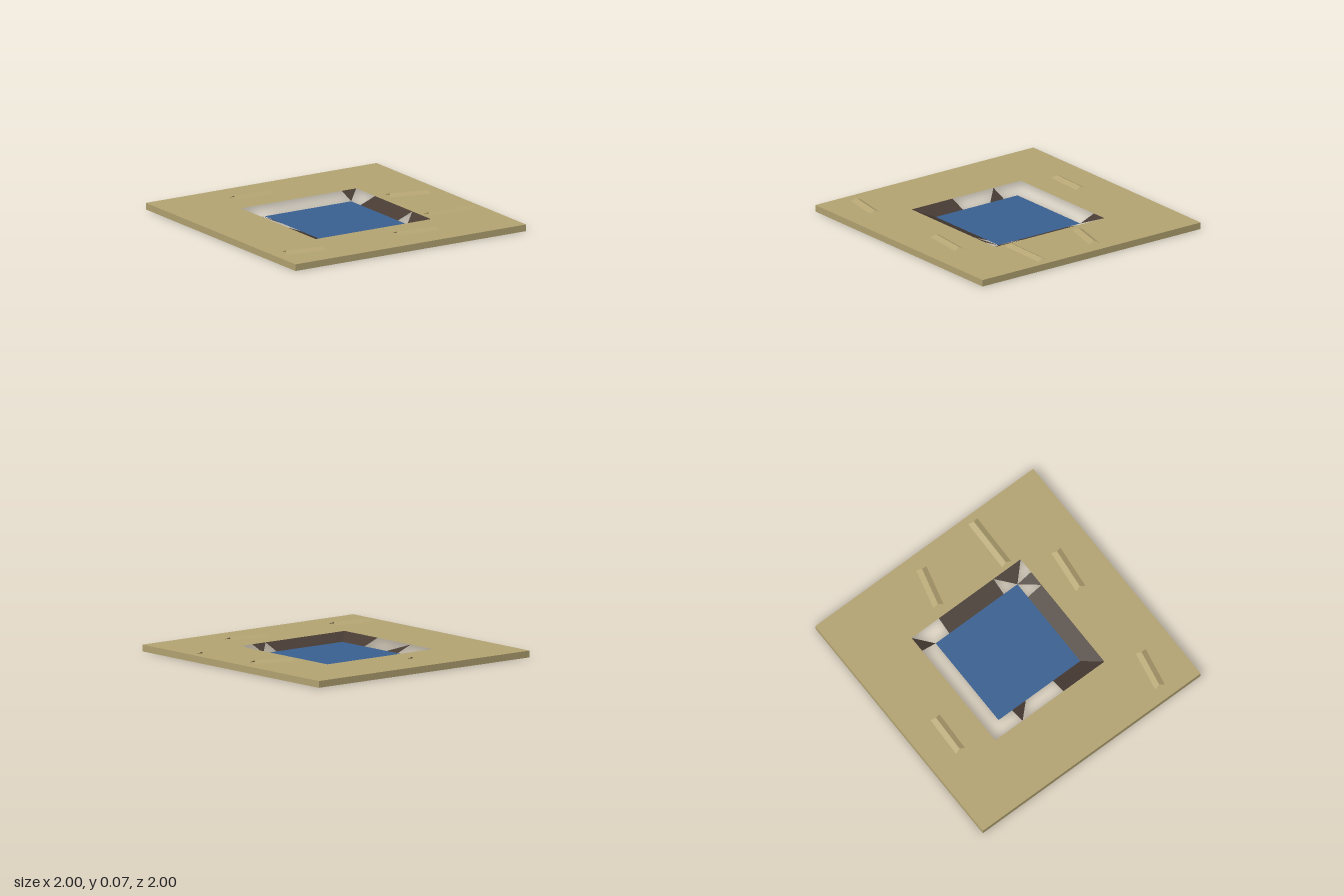
import * as THREE from 'three';

const TOP = 0.05;      // height of the ground sheet
const HOLE = 0.5;      // half size of the pond opening
const WATER = 0.375;   // half size of the water

const material = (name, color) => {
  const m = new THREE.MeshStandardMaterial({ color, side: THREE.DoubleSide });
  m.name = name;
  return m;
};

// Flat polygon given as [x, z] plan points, facing up
function planGeometry(points, hole) {
  const toVec = ([x, z]) => new THREE.Vector2(x, -z);
  const shape = new THREE.Shape(points.map(toVec));
  if (hole) shape.holes.push(new THREE.Path(hole.map(toVec)));
  return new THREE.ShapeGeometry(shape).rotateX(-Math.PI / 2);
}

const square = (h) => [[-h, h], [h, h], [h, -h], [-h, -h]];

// Bank piece: a plan polygon whose height falls from the rim to the water
function bankGeometry(points) {
  const g = planGeometry(points);
  const p = g.attributes.position;
  for (let i = 0; i < p.count; i++) {
    const d = Math.max(Math.abs(p.getX(i)), Math.abs(p.getZ(i)));
    p.setY(i, TOP * (d - WATER) / (HOLE - WATER));
  }
  g.computeVertexNormals();
  return g;
}

// Dune ripple: two sloping sides with open ends
function rippleGeometry(half) {
  const w = 0.04, h = 0.02, r = half - 0.013;
  const quad = (a, b, c, d) => [...a, ...b, ...c, ...a, ...c, ...d];
  const r0 = [-r, h, 0], r1 = [r, h, 0];
  const g = new THREE.BufferGeometry();
  g.setAttribute('position', new THREE.Float32BufferAttribute([
    ...quad([-half, 0, w], [half, 0, w], r1, r0),
    ...quad([half, 0, -w], [-half, 0, -w], r0, r1),
  ], 3));
  g.computeVertexNormals();
  return g;
}

export function createModel() {
  const group = new THREE.Group();
  const sand = material('sand', 0xb5a573);
  const soil = material('soil', 0x483c34);
  const blue = material('water', 0x3a6192);

  const add = (name, geometry, mat, parent = group) => {
    const mesh = new THREE.Mesh(geometry, mat);
    mesh.name = name;
    parent.add(mesh);
    return mesh;
  };

  // Ground sheet with a square opening
  add('ground', planGeometry(square(1), square(HOLE)), sand);

  // Outer edges, open underneath
  for (let i = 0; i < 4; i++) {
    const edge = new THREE.PlaneGeometry(2, TOP).translate(0, TOP / 2, 1);
    add('groundEdge', edge.rotateY(i * Math.PI / 2), sand);
  }
  group.children[0].position.y = TOP;

  // Pond surface
  add('water', planGeometry(square(WATER)), blue);

  // Sloping banks, broken by gaps
  const banks = new THREE.Group();
  banks.name = 'banks';
  group.add(banks);
  const a = WATER, b = HOLE;
  [
    [[-b, b], [0.25, b], [0.25, a], [-a, a]],          // front
    [[0.25, b], [a, b], [a, a]],                       // front, right end
    [[-b, b], [-a, a], [-a, 0.125], [-b, 0.125]],      // left of the plan
    [[-b, -0.25], [-a, -0.125], [-a, -0.25]],
    [[a, 0.25], [b, 0.25], [b, -0.25], [a, -0.25]],    // right of the plan
    [[a, a], [b, b], [b, 0.25]],
    [[a, -b], [a, -a], [b, -b]],                       // back corner
  ].forEach((points) => add('bank', bankGeometry(points), soil, banks));

  // Ripples: x, z, half length, turn in degrees
  [
    [-0.25, -0.745, 0.16, 2],
    [0.73, -0.155, 0.16, 14.5],
    [0.738, 0.4, 0.208, 1],
    [-0.75, 0.73, 0.155, 10.5],
    [0.225, 0.727, 0.173, 6],
  ].forEach(([x, z, half, turn]) => {
    const ripple = add('ripple', rippleGeometry(half), sand);
    ripple.position.set(x, TOP, z);
    ripple.rotation.y = -THREE.MathUtils.degToRad(turn);
  });

  return group;
}
